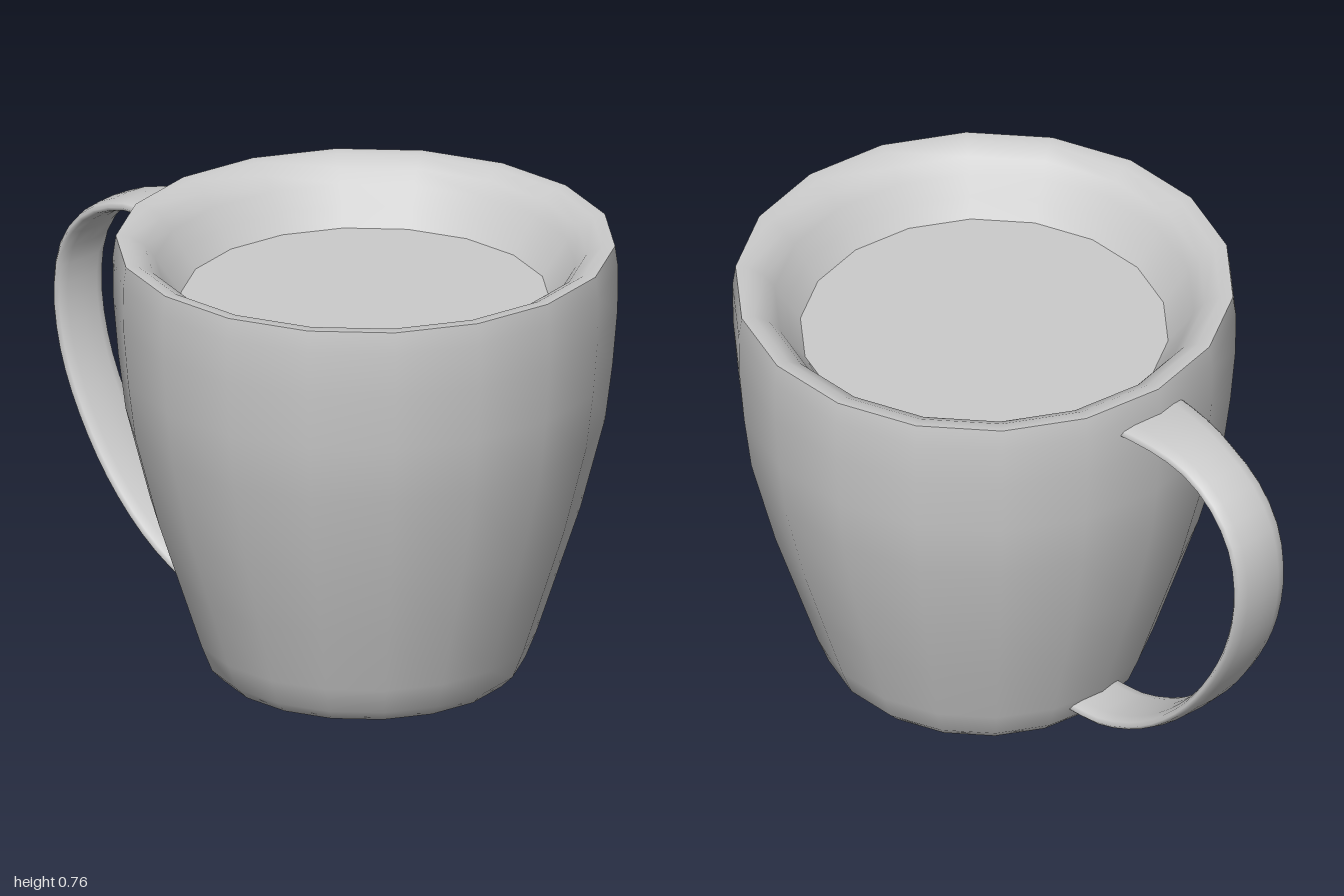
import * as THREE from 'three';
import { mergeVertices } from 'three/addons/utils/BufferGeometryUtils.js';

const SIDES = 18;
const PHI = THREE.MathUtils.degToRad(4);
const material = new THREE.MeshStandardMaterial({ color: 0xcccccc, side: THREE.DoubleSide });

function lathe(name, points) {
  const profile = points.map(([r, y]) => new THREE.Vector2(r, y));
  const mesh = new THREE.Mesh(new THREE.LatheGeometry(profile, SIDES, PHI), material);
  mesh.name = name;
  return mesh;
}

// Flat strap: a tube along a planar curve, widened sideways and flared where it meets the cup
function strapGeometry(points, thickness, width) {
  const curve = new THREE.CatmullRomCurve3(points.map(([x, y]) => new THREE.Vector3(x, y, 0)));
  const rings = 28, sides = 12, r = thickness / 2;
  const geometry = new THREE.TubeGeometry(curve, rings, r, sides);
  const pos = geometry.attributes.position;
  for (let i = 0; i < pos.count; i++) {
    const t = Math.floor(i / (sides + 1)) / rings;
    const flare = 1 + 0.3 * Math.max(0, 1 - t / 0.15);
    const s = pos.getZ(i) / r;
    pos.setZ(i, Math.sign(s) * Math.abs(s) ** 0.7 * (width / 2) * flare);
  }
  geometry.deleteAttribute('uv');
  geometry.deleteAttribute('normal');
  const merged = mergeVertices(geometry, 1e-5);
  merged.computeVertexNormals();
  return merged;
}

export function createModel() {
  const mug = new THREE.Group();
  mug.name = 'mug';
  mug.position.x = -0.385;

  // Outer wall with shallow conical base
  mug.add(lathe('cupBody', [
    [0, 0], [0.24, 0.015], [0.26, 0.035], [0.278, 0.08], [0.314, 0.19], [0.35, 0.3],
    [0.39, 0.455], [0.402, 0.55], [0.41, 0.645], [0.411, 0.72], [0.406, 0.757],
  ]));

  // Rim and visible inner wall
  mug.add(lathe('rimAndInnerWall', [
    [0.406, 0.757], [0.385, 0.756], [0.36, 0.742], [0.342, 0.72], [0.322, 0.69], [0.3, 0.66],
  ]));

  // Flat surface of the drink
  mug.add(lathe('drinkSurface', [[0.3, 0.66], [0, 0.66]]));

  // Looped strap handle, swung towards the back
  const handle = new THREE.Mesh(strapGeometry([
    [0.385, 0.697], [0.45, 0.698], [0.515, 0.688], [0.588, 0.652], [0.637, 0.588], [0.652, 0.5],
    [0.636, 0.4], [0.592, 0.3], [0.522, 0.2], [0.43, 0.118], [0.33, 0.07], [0.25, 0.06],
  ], 0.024, 0.11), material);
  handle.name = 'handle';
  handle.rotation.y = Math.PI - THREE.MathUtils.degToRad(27);
  mug.add(handle);

  const model = new THREE.Group();
  model.add(mug);
  return model;
}
